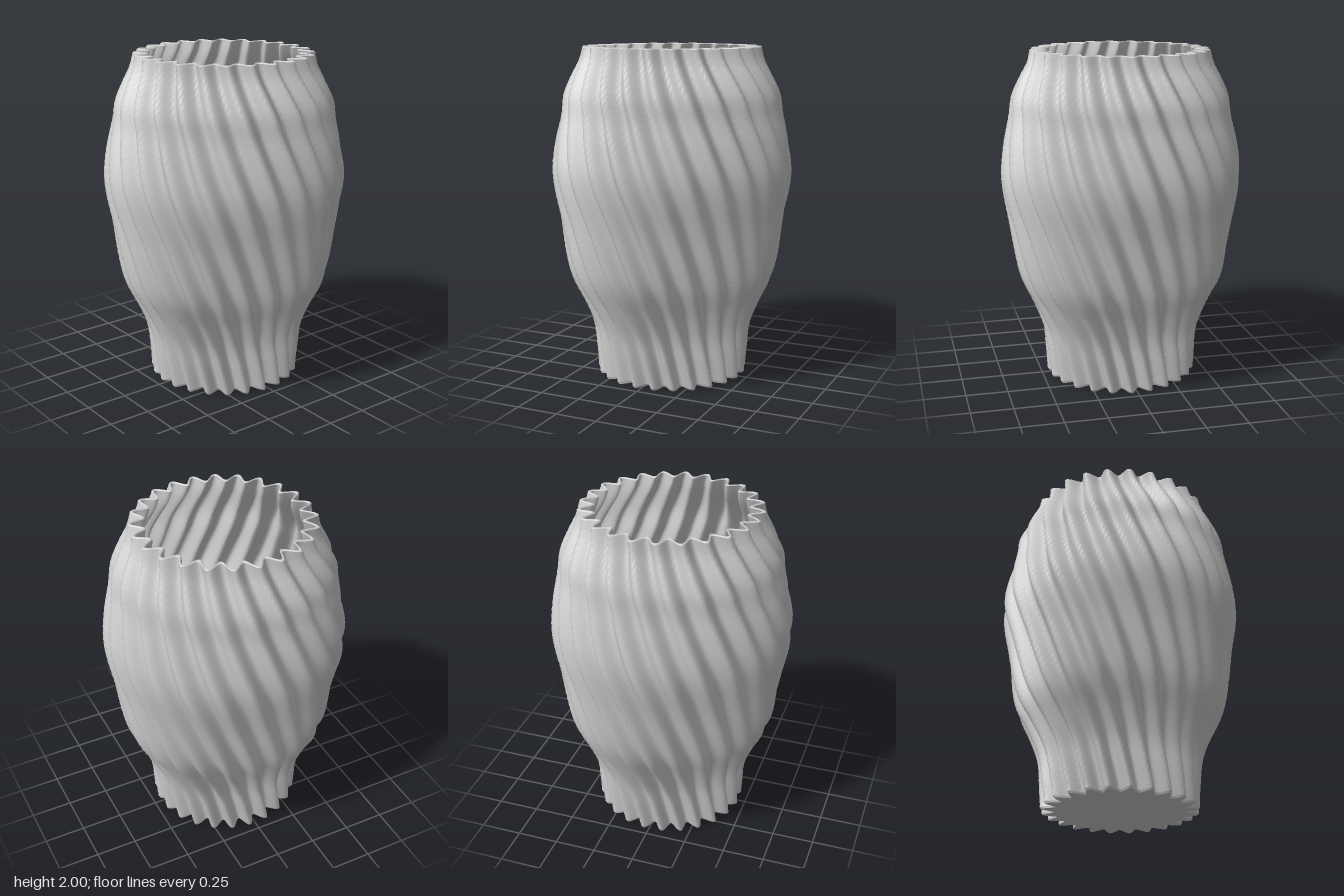
import * as THREE from 'three';

const RIBS = 24, SEG = RIBS * 12, ROWS = 56;
const HEIGHT = 2, WALL = 0.022, FLOOR = 0.03, BEVEL = 0.012;
const TWIST = THREE.MathUtils.degToRad(61.5), PHASE = THREE.MathUtils.degToRad(1.5);
const DEPTH = 0.038;

// Radius at the rib crests, as [radius, height]
const profile = new THREE.SplineCurve([
  [0.46, 0], [0.47, 0.15], [0.485, 0.3], [0.54, 0.45], [0.613, 0.6], [0.647, 0.73],
  [0.682, 0.97], [0.717, 1.17], [0.723, 1.3], [0.702, 1.45], [0.668, 1.6],
  [0.65, 1.72], [0.602, 1.83], [0.555, 1.92], [0.535, 2],
].map(([r, y]) => new THREE.Vector2(r, y)));
const samples = profile.getPoints(400);

function crestRadius(y) {
  const i = Math.max(1, samples.findIndex((p) => p.y >= y - 1e-9));
  const a = samples[i - 1], b = samples[i];
  return THREE.MathUtils.lerp(a.x, b.x, (y - a.y) / (b.y - a.y));
}

// One closed ring of the twisted, fluted section
function ring(y, inset = 0, scale = 1) {
  const crest = crestRadius(y), turn = PHASE + TWIST * (1 - y / HEIGHT);
  return Array.from({ length: SEG }, (_, i) => {
    const a = (i / SEG) * Math.PI * 2;
    const wave = -Math.cos(RIBS * (a - turn));
    const r = (crest - DEPTH + DEPTH * wave - inset) * scale;
    return [r * Math.sin(a), y, r * Math.cos(a)];
  });
}

// Joins consecutive rings into a smooth surface
function loft(name, rings, material) {
  const index = [];
  for (let j = 0; j < rings.length - 1; j++) {
    for (let i = 0; i < SEG; i++) {
      const a = j * SEG + i, b = j * SEG + ((i + 1) % SEG);
      index.push(a, b, b + SEG, a, b + SEG, a + SEG);
    }
  }
  const geometry = new THREE.BufferGeometry();
  geometry.setAttribute('position', new THREE.Float32BufferAttribute(rings.flat(2), 3));
  geometry.setIndex(index);
  geometry.computeVertexNormals();
  const mesh = new THREE.Mesh(geometry, material);
  mesh.name = name;
  return mesh;
}

export function createModel() {
  const material = new THREE.MeshStandardMaterial({ color: 0xcccccc });
  const vase = new THREE.Group();
  vase.name = 'flutedVase';

  const top = HEIGHT - BEVEL / 2;
  const heights = (from, to) =>
    Array.from({ length: ROWS + 1 }, (_, j) => THREE.MathUtils.lerp(from, to, j / ROWS));
  const outer = heights(BEVEL, top).map((y) => ring(y));
  const inner = heights(top, FLOOR).map((y) => ring(y, WALL));
  const foot = ring(0, BEVEL / 2);

  vase.add(
    loft('outerWall', outer, material),
    loft('innerWall', inner, material),
    // Rounded lip between the two walls
    loft('rim', [outer[ROWS], ring(HEIGHT, WALL * 0.3), ring(HEIGHT, WALL * 0.7), inner[0]], material),
    loft('floor', [inner[ROWS], ring(FLOOR, WALL, 0)], material),
    // Small bevel under the wall, and the flat underside
    loft('footBevel', [foot, outer[0]], material),
    loft('base', [ring(0, 0, 0), foot], material),
  );
  return vase;
}
